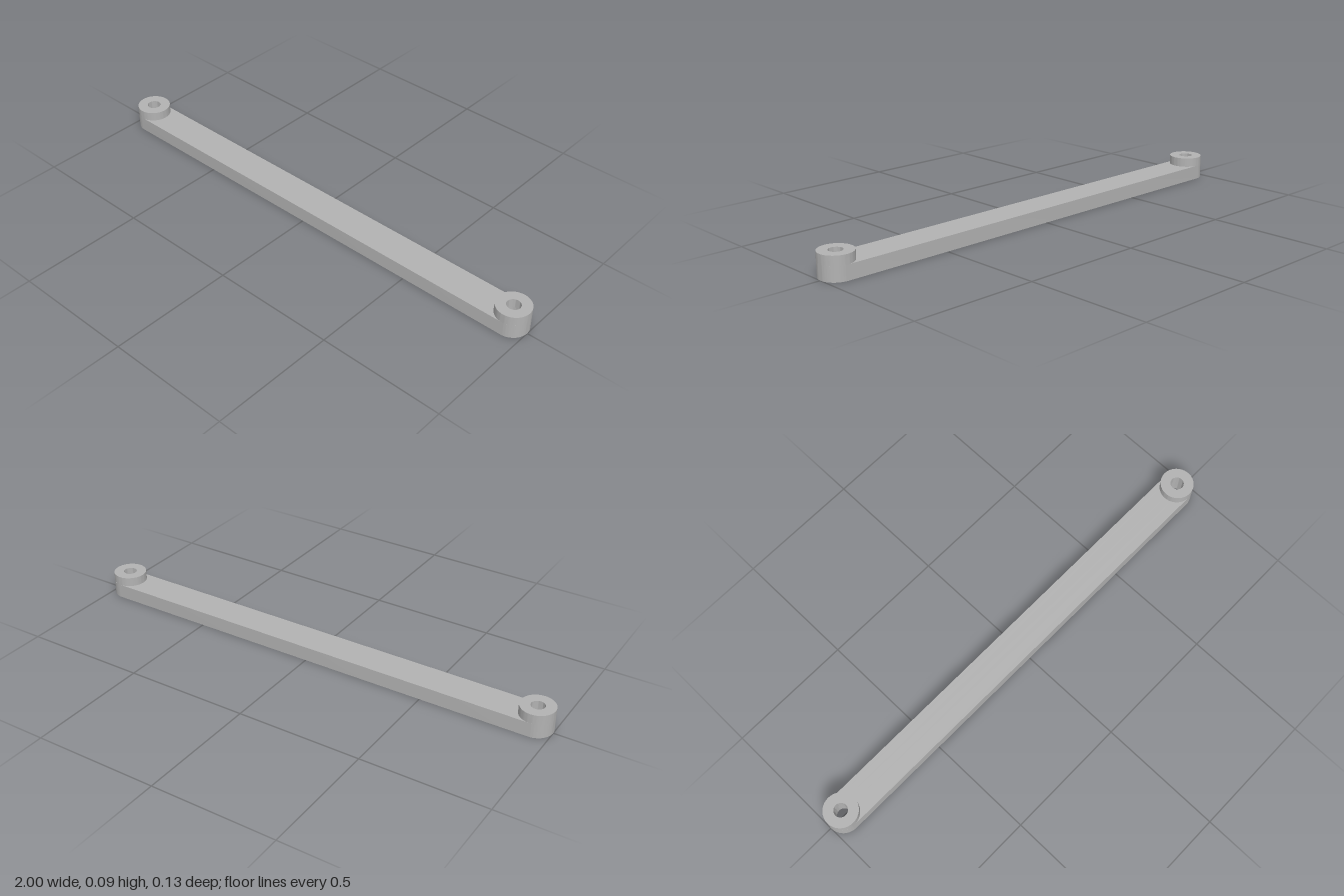
import * as THREE from 'three';
import { toCreasedNormals } from 'three/addons/utils/BufferGeometryUtils.js';

const RADIUS = 0.067;      // end radius and half width of the bar
const HOLE = 0.027;        // bolt hole radius
const PIVOT = 1 - RADIUS;  // hole centres at x = +-PIVOT
const BAR_TOP = 0.058;
const BOSS_TOP = 0.095;

function hole(x) {
  return new THREE.Path().absarc(x, 0, HOLE, 0, Math.PI * 2, true);
}

// Extrude a plan outline upward from y = bottom to y = top
function slab(shape, bottom, top) {
  const geometry = new THREE.ExtrudeGeometry(shape, {
    depth: top - bottom, bevelEnabled: false, curveSegments: 32,
  });
  geometry.rotateX(-Math.PI / 2);
  geometry.translate(0, bottom, 0);
  return toCreasedNormals(geometry, 0.6);
}

export function createModel() {
  const model = new THREE.Group();
  model.name = 'linkArm';
  const grey = new THREE.MeshStandardMaterial({ color: 0xb2b2b2 });
  grey.name = 'grey';

  // Long bar with rounded ends and a hole through each end
  const outline = new THREE.Shape();
  outline.absarc(PIVOT, 0, RADIUS, -Math.PI / 2, Math.PI / 2, false);
  outline.absarc(-PIVOT, 0, RADIUS, Math.PI / 2, Math.PI * 1.5, false);
  outline.closePath();
  outline.holes.push(hole(PIVOT), hole(-PIVOT));
  const bar = new THREE.Mesh(slab(outline, 0, BAR_TOP), grey);
  bar.name = 'bar';
  model.add(bar);

  // Raised ring boss around each hole
  for (const [side, name] of [[1, 'leftBoss'], [-1, 'rightBoss']]) {
    const ring = new THREE.Shape();
    ring.absarc(0, 0, RADIUS, 0, Math.PI * 2, false);
    ring.holes.push(hole(0));
    const boss = new THREE.Mesh(slab(ring, BAR_TOP, BOSS_TOP), grey);
    boss.name = name;
    boss.position.x = side * PIVOT;
    model.add(boss);
  }
  return model;
}
